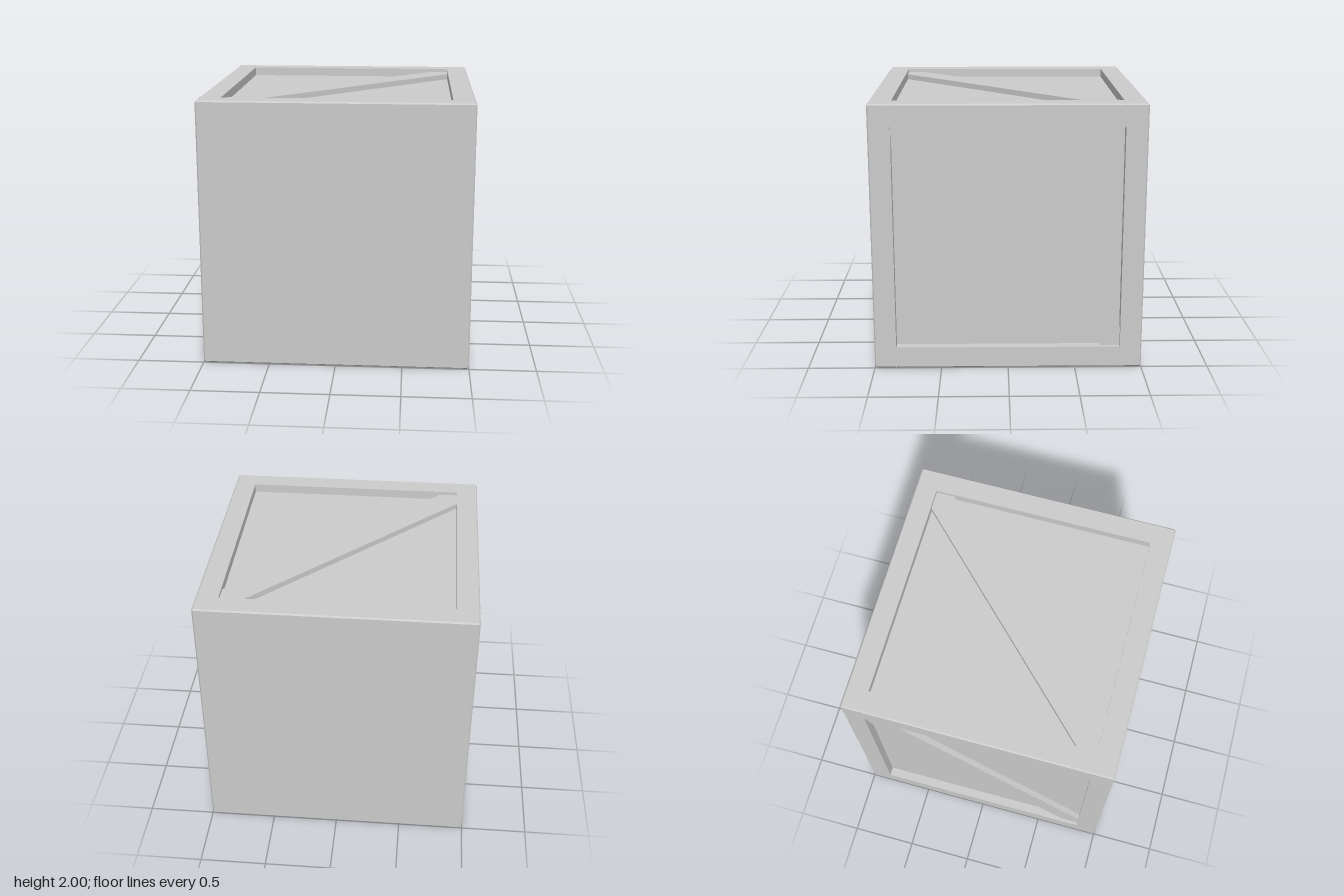
import * as THREE from 'three';

const HALF = 1;        // half of the outer size
const OPEN = 0.837;    // half of each side opening
const FLOOR = 0.933;   // recessed panel distance from the centre
const BRACE = 0.975;   // outer surface of the diagonal braces
const CHAMFER = 0.01;

const material = new THREE.MeshStandardMaterial({ color: 0xcccccc });

function addMesh(parent, name, geometry) {
  const mesh = new THREE.Mesh(geometry, material);
  mesh.name = name;
  parent.add(mesh);
  return mesh;
}

const polygon = (points) => new THREE.Shape(points.map(([x, y]) => new THREE.Vector2(x, y)));

// Solid end panel: chamfered on its outer face, square on its inner face
function endPanelGeometry() {
  const a = HALF, b = HALF - CHAMFER;
  const outline = polygon([[-b, -a], [b, -a], [a, -b], [a, b], [b, a], [-b, a], [-a, b], [-a, -b]]);
  const geometry = new THREE.ExtrudeGeometry(outline, {
    depth: HALF - OPEN - 2 * CHAMFER,
    bevelSize: CHAMFER, bevelThickness: CHAMFER, bevelOffset: -CHAMFER, bevelSegments: 1,
  });
  const p = geometry.attributes.position;
  for (let i = 0; i < p.count; i++) {
    if (p.getZ(i) < -CHAMFER / 2) p.setXY(i, p.getX(i) * a / b, p.getY(i) * a / b);
  }
  geometry.translate(0, 0, OPEN + CHAMFER);
  geometry.computeVertexNormals();
  return geometry;
}

// Corner rail running front to back
function railGeometry() {
  const a = HALF, b = HALF - CHAMFER;
  const section = polygon([[OPEN, OPEN], [a, OPEN], [a, b], [b, a], [OPEN, a]]);
  const length = 2 * OPEN + 0.02;
  return new THREE.ExtrudeGeometry(section, { depth: length, bevelEnabled: false })
    .translate(0, 0, -length / 2);
}

// Diagonal plank cut to fit the corners of the opening
function braceGeometry() {
  const h = OPEN, c = 0.142;
  const outline = polygon([[-h, -h], [c - h, -h], [h, h - c], [h, h], [h - c, h], [-h, c - h]]);
  return new THREE.ExtrudeGeometry(outline, { depth: BRACE - FLOOR + 0.01, bevelEnabled: false })
    .rotateX(-Math.PI / 2)
    .translate(0, FLOOR - 0.01, 0);
}

export function createModel() {
  const crate = new THREE.Group();
  crate.name = 'crate';
  const body = new THREE.Group();
  body.name = 'body';
  body.position.y = HALF;
  crate.add(body);

  // Inner box forms the recessed panels
  addMesh(body, 'recessedPanels', new THREE.BoxGeometry(2 * FLOOR, 2 * FLOOR, 2 * OPEN + 0.02));

  // Plain front and back
  const panel = endPanelGeometry();
  addMesh(body, 'frontPanel', panel);
  addMesh(body, 'backPanel', panel).rotation.y = Math.PI;

  // Rails and braces repeat around the front-to-back axis
  const rail = railGeometry();
  const brace = braceGeometry();
  ['top', 'left', 'bottom', 'right'].forEach((side, i) => {
    addMesh(body, side + 'Rail', rail).rotation.z = -i * Math.PI / 2;
    addMesh(body, side + 'Brace', brace).rotation.z = -i * Math.PI / 2;
  });

  return crate;
}
